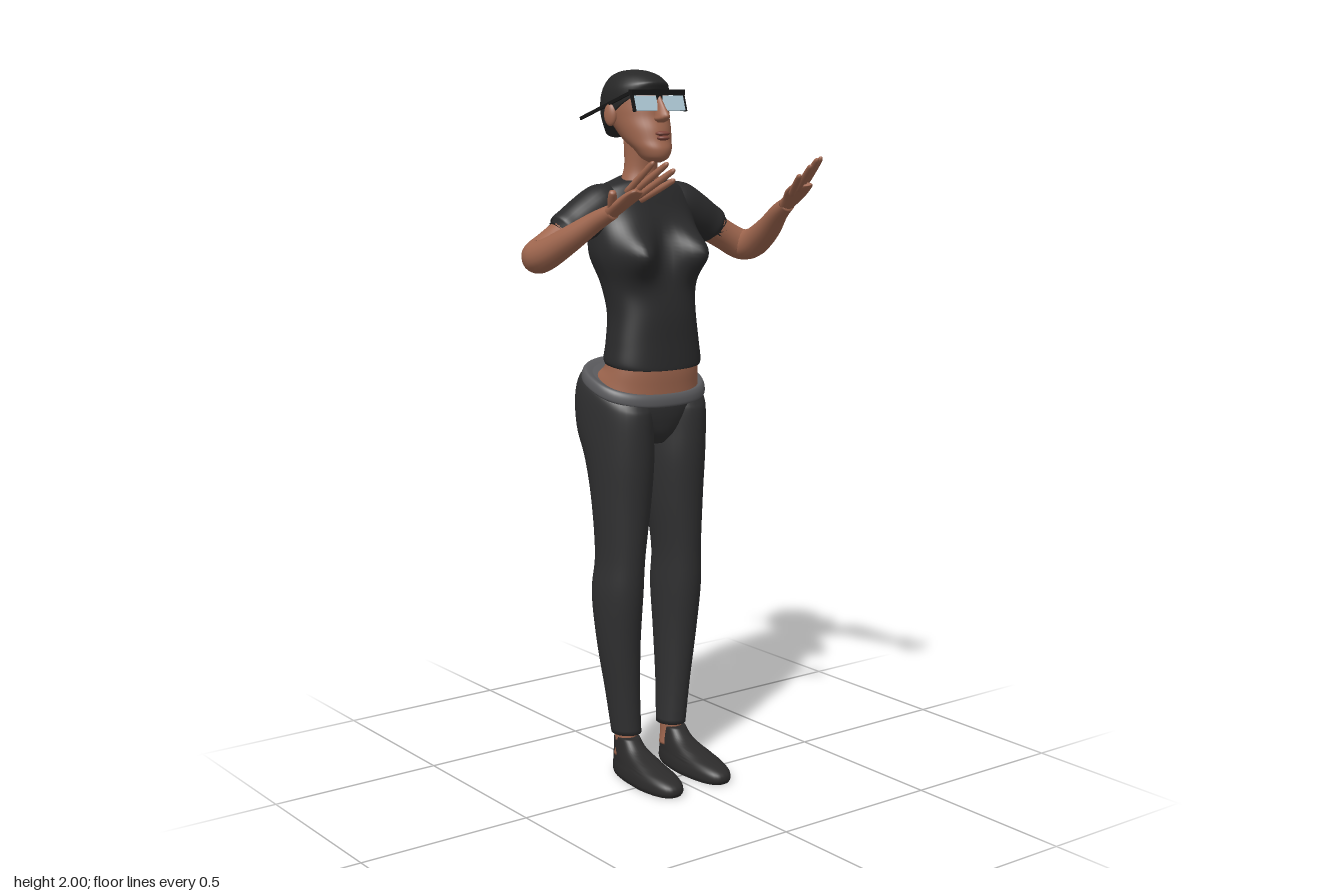
import * as THREE from 'three';

const paint = (name, color) => {
  const m = new THREE.MeshStandardMaterial({ color });
  m.name = name;
  return m;
};

// Smooth interpolation through rows of numbers
function smooth(rows, steps) {
  const out = [];
  const n = rows.length - 1;
  for (let i = 0; i < n; i++) {
    const a = rows[Math.max(i - 1, 0)], b = rows[i], c = rows[i + 1], d = rows[Math.min(i + 2, n)];
    for (let s = 0; s < steps; s++) {
      const t = s / steps;
      out.push(b.map((v, k) => v + 0.5 * t * (c[k] - a[k]
        + t * (2 * a[k] - 5 * v + 4 * c[k] - d[k] + t * (3 * (v - c[k]) + d[k] - a[k])))));
    }
  }
  out.push(rows[n]);
  return out;
}

// Closed skin over a stack of rings, with capped ends
function skinRings(rings) {
  const n = rings[0].length, last = (rings.length - 1) * n, pos = [], idx = [];
  rings.forEach(r => r.forEach(p => pos.push(p.x, p.y, p.z)));
  for (let i = 0; i < rings.length - 1; i++) {
    for (let j = 0; j < n; j++) {
      const a = i * n + j, b = i * n + (j + 1) % n;
      idx.push(a, b, a + n, b, b + n, a + n);
    }
  }
  [rings[0], rings[rings.length - 1]].forEach((r, end) => {
    const c = r.reduce((s, p) => s.add(p), new THREE.Vector3()).divideScalar(n);
    const ci = pos.length / 3;
    pos.push(c.x, c.y, c.z);
    for (let j = 0; j < n; j++) {
      const k = (j + 1) % n;
      if (end) idx.push(ci, last + j, last + k);
      else idx.push(ci, k, j);
    }
  });
  const g = new THREE.BufferGeometry();
  g.setAttribute('position', new THREE.Float32BufferAttribute(pos, 3));
  g.setIndex(idx);
  g.computeVertexNormals();
  return g;
}

// Upright loft; row = [y, halfWidth, frontZ, backZ, tilt, centreX]
function loft(rows, { cx = 0, power = 2, steps = 5, sides = 40, bend } = {}) {
  const full = rows.map(r => [r[0], r[1], r[2], r[3], r[4] || 0, r[5] || cx]);
  const round = v => Math.sign(v) * Math.abs(v) ** (2 / power);
  return skinRings(smooth(full, steps).map(([y, rx, zf, zb, tilt, x]) => {
    const ring = [];
    for (let j = 0; j < sides; j++) {
      const a = j / sides * Math.PI * 2;
      const dz = -round(Math.sin(a)) * (zf - zb) / 2;
      const p = new THREE.Vector3(x + round(Math.cos(a)) * rx, y + tilt * dz, (zf + zb) / 2 + dz);
      if (bend) bend(p, dz);
      ring.push(p);
    }
    return ring;
  }));
}

// Limb along a path; row = [x, y, z, width radius, thickness radius]
function limb(rows, s, sides = 18, steps = 5) {
  const pts = smooth(rows.map(r => [r[0] * s, r[1], r[2], r[3], r[4] ?? r[3]]), steps);
  const at = i => new THREE.Vector3(...pts[Math.min(Math.max(i, 0), pts.length - 1)].slice(0, 3));
  const up = new THREE.Vector3(0, 1, 0);
  return skinRings(pts.map((p, i) => {
    const t = at(i + 1).sub(at(i - 1)).normalize();
    const n = up.clone().cross(t).normalize(), b = t.clone().cross(n);
    return Array.from({ length: sides }, (_, j) => {
      const a = j / sides * Math.PI * 2;
      return at(i).addScaledVector(n, Math.cos(a) * p[3]).addScaledVector(b, Math.sin(a) * p[4]);
    });
  }));
}

export function createModel() {
  const model = new THREE.Group();
  model.name = 'woman';
  const skin = paint('skin', 0xa0674f), shirt = paint('shirt black', 0x2a2a2b), trousers = paint('trouser black', 0x303031);
  const band = paint('waistband grey', 0x59595c), shoe = paint('shoe black', 0x2c2b2b), hair = paint('hair black', 0x272727);
  const frame = paint('frame black', 0x161616), glass = paint('lens blue', 0xb4cfdc), lip = paint('lip', 0x7f463b);

  const add = (name, geo, mat) => {
    const m = new THREE.Mesh(geo, mat);
    m.name = name;
    model.add(m);
    return m;
  };
  const ball = (name, mat, p, r) => {
    const m = add(name, new THREE.SphereGeometry(1, 20, 14), mat);
    m.position.set(...p);
    m.scale.set(...r);
    return m;
  };

  // Head, neck and face
  add('head', loft([
    [1.75, 0.016, -0.062, -0.1], [1.762, 0.036, -0.042, -0.125], [1.785, 0.05, -0.036, -0.15],
    [1.81, 0.062, -0.044, -0.19], [1.84, 0.071, -0.05, -0.225], [1.87, 0.077, -0.06, -0.25],
    [1.9, 0.08, -0.064, -0.268], [1.94, 0.077, -0.073, -0.27], [1.97, 0.06, -0.1, -0.25], [1.99, 0.03, -0.14, -0.21],
  ]), skin);
  add('neck', loft([
    [1.65, 0.075, -0.1, -0.2], [1.7, 0.056, -0.104, -0.2], [1.74, 0.047, -0.104, -0.192], [1.81, 0.047, -0.085, -0.2],
  ]), skin);
  add('nose', loft([
    [1.857, 0.008, -0.045, -0.07], [1.866, 0.018, -0.027, -0.08], [1.878, 0.016, -0.021, -0.08],
    [1.9, 0.01, -0.038, -0.08], [1.93, 0.008, -0.06, -0.09],
  ], { sides: 16 }), skin);
  ball('upperLip', lip, [0, 1.828, -0.047], [0.022, 0.007, 0.016]);
  ball('lowerLip', lip, [0, 1.816, -0.045], [0.019, 0.007, 0.016]);

  // Close-cropped hair, high at the brow and low at the nape
  add('hair', loft([
    [1.88, 0.083, -0.073, -0.263, 0.7], [1.915, 0.087, -0.069, -0.285, 0.42], [1.95, 0.082, -0.073, -0.283, 0.18],
    [1.98, 0.062, -0.097, -0.258, 0.05], [1.995, 0.034, -0.13, -0.222], [2.0, 0.004, -0.172, -0.18],
  ]), hair);

  // Shirt body, with the bust pushed forward from the front
  add('shirtBody', loft([
    [1.195, 0.143, 0.0, -0.19, -0.12], [1.21, 0.147, 0.0, -0.192, -0.12], [1.26, 0.14, -0.003, -0.188, -0.05],
    [1.34, 0.132, -0.008, -0.192], [1.42, 0.142, -0.025, -0.21], [1.5, 0.163, -0.055, -0.235],
    [1.58, 0.163, -0.06, -0.238], [1.64, 0.16, -0.076, -0.232], [1.68, 0.13, -0.09, -0.222],
    [1.7, 0.082, -0.1, -0.212, 0.0], [1.702, 0.06, -0.103, -0.204, -0.2],
  ], {
    power: 2.3, sides: 64, steps: 7,
    bend: (p, dz) => {
      if (dz <= 0) return;
      const push = Math.exp(-(((Math.abs(p.x) - 0.09) / 0.06) ** 2) - ((p.y - 1.505) / 0.062) ** 2);
      p.z += 0.088 * push * Math.min(1, dz / 0.04);
      p.x += Math.sign(p.x) * 0.012 * push;
    },
  }), shirt);

  // Bare waist, trouser seat and waistband
  add('waist', loft([
    [1.1, 0.165, -0.02, -0.24, -0.3], [1.15, 0.152, -0.016, -0.22, -0.25], [1.19, 0.141, -0.012, -0.188, -0.1], [1.26, 0.13, -0.015, -0.178],
  ], { power: 2.3 }), skin);
  add('trouserSeat', loft([
    [0.97, 0.03, -0.06, -0.16], [1.0, 0.07, -0.035, -0.21], [1.05, 0.13, -0.022, -0.245, -0.1],
    [1.1, 0.165, -0.016, -0.255, -0.25], [1.13, 0.172, -0.015, -0.255, -0.33],
  ], { power: 2.2 }), trousers);
  add('waistband', loft([
    [1.123, 0.176, -0.014, -0.262, -0.35], [1.13, 0.182, -0.007, -0.268, -0.35], [1.148, 0.18, -0.007, -0.266, -0.35],
    [1.158, 0.172, -0.014, -0.256, -0.35], [1.152, 0.155, -0.024, -0.235, -0.35],
  ], { power: 2.4, sides: 56 }), band);

  for (const s of [1, -1]) {
    const side = s > 0 ? 'left' : 'right';
    // Leg, ankle and shoe
    add(side + 'TrouserLeg', loft([
      [0.125, 0.041, -0.07, -0.165, 0, 0.08], [0.25, 0.047, -0.065, -0.178, 0, 0.09], [0.4, 0.059, -0.055, -0.196, 0, 0.1],
      [0.54, 0.067, -0.04, -0.21, 0, 0.103], [0.65, 0.065, -0.034, -0.2, 0, 0.099], [0.8, 0.078, -0.025, -0.215, 0, 0.092],
      [0.92, 0.087, -0.015, -0.245, 0, 0.09], [1.01, 0.09, -0.011, -0.287, 0, 0.092], [1.08, 0.09, -0.012, -0.294, -0.15, 0.092],
      [1.12, 0.086, -0.018, -0.275, -0.33, 0.091], [1.135, 0.075, -0.03, -0.25, -0.33, 0.09],
    ].map(r => [...r.slice(0, 5), r[5] * s]), { sides: 36, steps: 6 }), trousers);
    add(side + 'Ankle', loft([[0.06, 0.036, -0.08, -0.152], [0.1, 0.032, -0.084, -0.15], [0.16, 0.034, -0.084, -0.155]], { cx: 0.081 * s, sides: 20 }), skin);
    add(side + 'Shoe', loft([
      [0, 0.05, 0.128, -0.157], [0.012, 0.055, 0.135, -0.163], [0.03, 0.054, 0.129, -0.163], [0.045, 0.05, 0.1, -0.161],
      [0.06, 0.046, 0.04, -0.16], [0.085, 0.04, -0.035, -0.157], [0.115, 0.036, -0.07, -0.154],
    ], {
      cx: 0.085 * s, power: 2.5,
      bend: p => { if (p.z < 0) p.x = 0.083 * s + (p.x - 0.085 * s) * (1 + p.z * 1.6); },
    }), shoe);

    // Bent arm with short sleeve
    add(side + 'Arm', limb([
      [0.14, 1.62, -0.16, 0.045], [0.22, 1.578, -0.158, 0.045], [0.3, 1.533, -0.152, 0.042], [0.35, 1.506, -0.138, 0.044],
      [0.357, 1.515, -0.085, 0.042], [0.338, 1.56, 0, 0.035], [0.31, 1.61, 0.08, 0.026], [0.295, 1.637, 0.135, 0.02],
    ], s), skin);
    add(side + 'Sleeve', limb([
      [0.09, 1.64, -0.155, 0.05], [0.13, 1.631, -0.155, 0.062], [0.18, 1.604, -0.155, 0.061], [0.225, 1.579, -0.155, 0.056],
      [0.25, 1.565, -0.154, 0.054], [0.253, 1.563, -0.154, 0.048],
    ], s, 28), shirt);

    // Open hand, thumb on the outside
    add(side + 'Palm', limb([
      [0.297, 1.632, 0.122, 0.02, 0.019], [0.29, 1.653, 0.158, 0.028, 0.016], [0.28, 1.674, 0.19, 0.034, 0.014],
      [0.273, 1.69, 0.218, 0.032, 0.01], [0.271, 1.694, 0.224, 0.022, 0.006],
    ], s), skin);
    [
      ['Index', [0.297, 1.69, 0.2], [0.278, 1.768, 0.29]],
      ['Middle', [0.281, 1.69, 0.208], [0.248, 1.765, 0.309]],
      ['Ring', [0.266, 1.68, 0.208], [0.226, 1.748, 0.308]],
      ['Little', [0.253, 1.668, 0.198], [0.208, 1.722, 0.284]],
      ['Thumb', [0.302, 1.643, 0.14], [0.322, 1.692, 0.172]],
    ].forEach(([name, a, b]) => {
      const r = name === 'Thumb' ? 0.012 : 0.0088;
      const mix = t => a.map((v, k) => v + (b[k] - v) * t);
      add(side + name + 'Finger', limb([
        [...mix(0), r], [...mix(0.5), r], [...mix(0.88), r * 0.85], [...mix(0.97), r * 0.55], [...mix(1), r * 0.1],
      ], s, 10, 3), skin);
    });

    // Ear, brow and eye
    ball(side + 'Ear', skin, [0.085 * s, 1.878, -0.172], [0.011, 0.031, 0.02]).rotation.y = -0.35 * s;
    ball(side + 'Eye', frame, [0.034 * s, 1.905, -0.072], [0.015, 0.008, 0.01]);

    // Glasses: lens, rim and temple bar
    const lens = add(side + 'Lens', new THREE.BoxGeometry(0.074, 0.042, 0.006), glass);
    lens.position.set(0.046 * s, 1.909, -0.062);
    lens.rotation.x = -0.3;
    const rim = add(side + 'Rim', new THREE.BoxGeometry(0.006, 0.05, 0.009), frame);
    rim.position.set(0.086 * s, 1.911, -0.064);
    rim.rotation.x = -0.3;
    const temple = add(side + 'Temple', new THREE.BoxGeometry(0.005, 0.009, 0.252), frame);
    temple.position.set(0.088 * s, 1.902, -0.192);
    temple.rotation.x = -0.29;
  }
  const bar = add('glassesBar', new THREE.BoxGeometry(0.18, 0.014, 0.016), frame);
  bar.position.set(0, 1.938, -0.072);
  const bridge = add('glassesBridge', new THREE.BoxGeometry(0.018, 0.012, 0.008), frame);
  bridge.position.set(0, 1.925, -0.063);
  return model;
}
